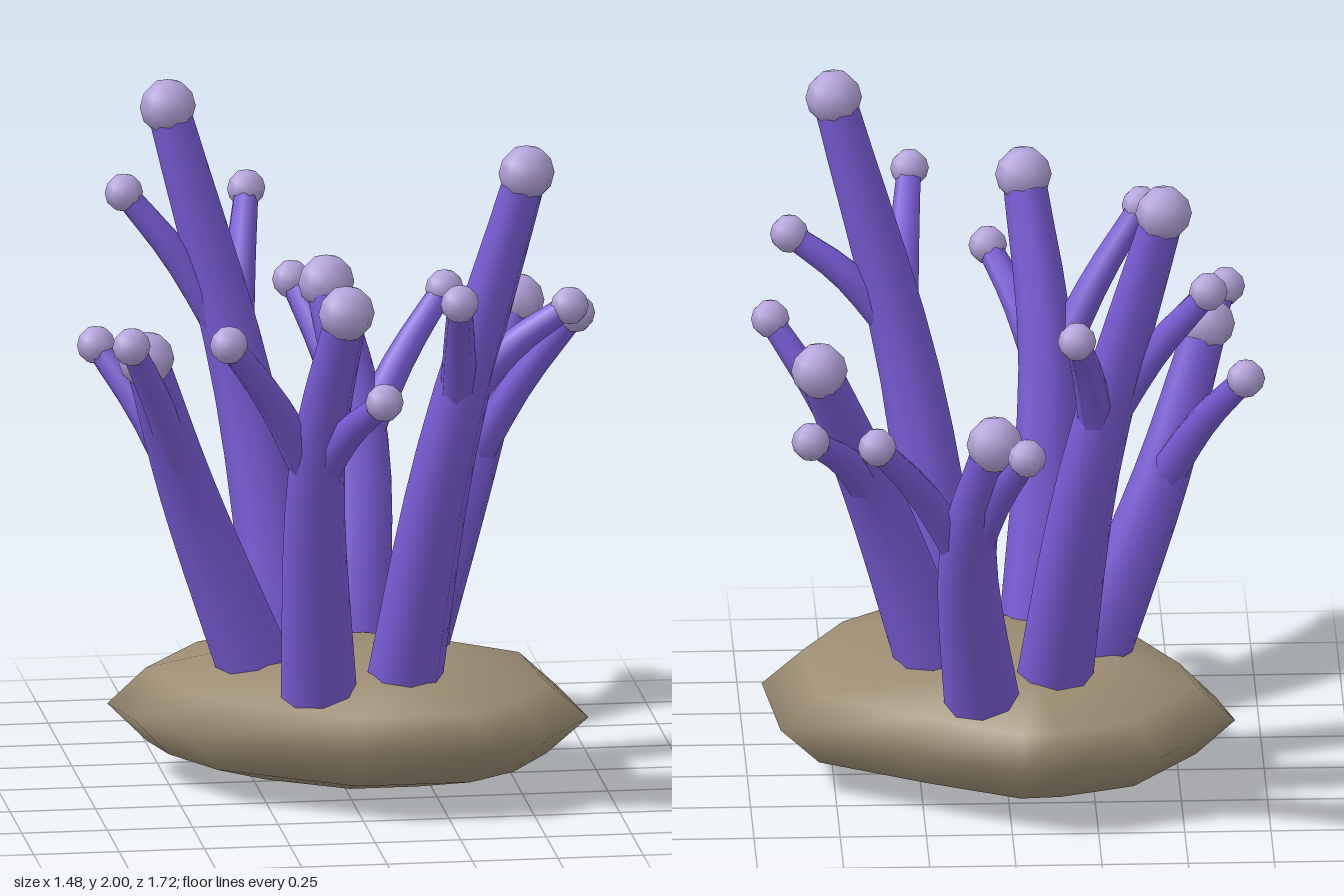
import * as THREE from 'three';

const stalkMat = new THREE.MeshStandardMaterial({ name: 'violet stalk', color: 0x7a5cd6 });
const tipMat = new THREE.MeshStandardMaterial({ name: 'pale lilac tip', color: 0xb3a2d9 });
const rockMat = new THREE.MeshStandardMaterial({ name: 'brown rock', color: 0x9c8c72 });

const vec = (x, y, z) => new THREE.Vector3(x, y, z);
const FORK = 0.58; // how far up a stem its branches leave

function addMesh(group, name, geometry, material) {
  const mesh = new THREE.Mesh(geometry, material);
  mesh.name = name;
  group.add(mesh);
  return mesh;
}

// Tube along a curve whose radius shrinks from r0 to r1
function taperedTube(curve, r0, r1, segments, sides) {
  const geo = new THREE.TubeGeometry(curve, segments, 1, sides);
  const pos = geo.attributes.position;
  const v = vec(0, 0, 0);
  for (let i = 0; i <= segments; i++) {
    const t = i / segments;
    const centre = curve.getPointAt(t);
    const r = THREE.MathUtils.lerp(r0, r1, t);
    for (let j = 0; j <= sides; j++) {
      const k = i * (sides + 1) + j;
      v.fromBufferAttribute(pos, k).sub(centre).multiplyScalar(r).add(centre);
      pos.setXYZ(k, v.x, v.y, v.z);
    }
  }
  return geo;
}

function addTip(group, name, position, radius) {
  addMesh(group, name, new THREE.SphereGeometry(radius, 8, 6), tipMat).position.copy(position);
}

// Stem through foot, bend and tip; each branch leaves the fork and curves up to its own tip
function stalk(name, foot, bend, tip, branchTips) {
  const group = new THREE.Group();
  group.name = name;
  const stem = new THREE.CatmullRomCurve3([foot, bend, tip]);
  addMesh(group, 'stem', taperedTube(stem, 0.115, 0.062, 10, 8), stalkMat);
  addTip(group, 'stemTip', tip, 0.082);
  const fork = stem.getPointAt(FORK);
  for (const end of branchTips) {
    const middle = fork.clone().lerp(end, 0.5);
    middle.y += 0.03;
    const curve = new THREE.CatmullRomCurve3([fork, middle, end]);
    addMesh(group, 'branch', taperedTube(curve, 0.058, 0.036, 6, 7), stalkMat);
    addTip(group, 'branchTip', end, 0.056);
  }
  return group;
}

// Lumpy rock: a sphere whose rings follow an irregular rounded outline
function rockGeometry() {
  const outline = new THREE.Shape([
    [0.7, 0.2], [0.55, 0.43], [0.38, 0.55], [-0.02, 0.55], [-0.47, 0.27], [-0.61, 0.04],
    [-0.66, -0.15], [-0.43, -0.44], [-0.17, -0.53], [-0.03, -0.54], [0.3, -0.38], [0.66, -0.18],
  ].map(([x, z]) => new THREE.Vector2(x, z))).getPoints();
  // height, x scale, z scale
  const rings = [[0.04, 0.5, 0.5], [0.1, 0.83, 0.87], [0.21, 1, 1], [0.315, 0.83, 0.96], [0.38, 0.48, 0.5]];
  const n = outline.length;
  const verts = [0.02, 0, 0];
  for (const [y, sx, sz] of rings) for (const p of outline) verts.push(p.x * sx, y, p.y * sz);
  verts.push(0.02, 0.395, 0);
  const top = 1 + rings.length * n;
  const index = [];
  for (let j = 0; j < n; j++) {
    const k = (j + 1) % n;
    index.push(0, 1 + j, 1 + k);
    for (let i = 0; i < rings.length - 1; i++) {
      const a = 1 + i * n + j;
      const b = 1 + i * n + k;
      index.push(a, a + n, b, b, a + n, b + n);
    }
    index.push(top, top - n + k, top - n + j);
  }
  const geo = new THREE.BufferGeometry();
  geo.setAttribute('position', new THREE.Float32BufferAttribute(verts, 3));
  geo.setIndex(index);
  geo.computeVertexNormals();
  return geo;
}

export function createModel() {
  const model = new THREE.Group();
  model.name = 'branchingCoral';
  addMesh(model, 'rockBase', rockGeometry(), rockMat);

  // Six stalks around the rock
  model.add(
    stalk('frontStalk', vec(-0.1, 0.24, 0.29), vec(-0.14, 1.08, 0.53), vec(-0.08, 1.58, 0.72),
      [vec(-0.42, 1.49, 0.69), vec(0.02, 1.33, 0.8)]),
    stalk('frontLeftStalk', vec(0.14, 0.24, 0.22), vec(0.26, 1.08, 0.39), vec(0.48, 1.92, 0.48),
      [vec(0.25, 1.6, 0.73), vec(0.61, 1.51, 0.45)]),
    stalk('leftStalk', vec(0.17, 0.24, -0.04), vec(0.38, 0.88, -0.08), vec(0.55, 1.35, -0.24),
      [vec(0.58, 1.18, -0.37), vec(0.68, 1.39, 0.08)]),
    stalk('backStalk', vec(0.07, 0.24, -0.27), vec(0.13, 0.9, -0.53), vec(0.06, 1.3, -0.72),
      [vec(-0.03, 1.29, -0.81), vec(0.4, 1.28, -0.68)]),
    stalk('backRightStalk', vec(-0.12, 0.24, -0.15), vec(-0.23, 1.08, -0.36), vec(-0.44, 1.91, -0.46),
      [vec(-0.18, 1.6, -0.68), vec(-0.57, 1.66, -0.45)]),
    stalk('rightStalk', vec(-0.21, 0.24, 0.03), vec(-0.45, 0.88, 0.06), vec(-0.59, 1.32, 0.17),
      [vec(-0.65, 1.39, 0.29), vec(-0.69, 1.28, -0.17)]),
  );
  return model;
}
